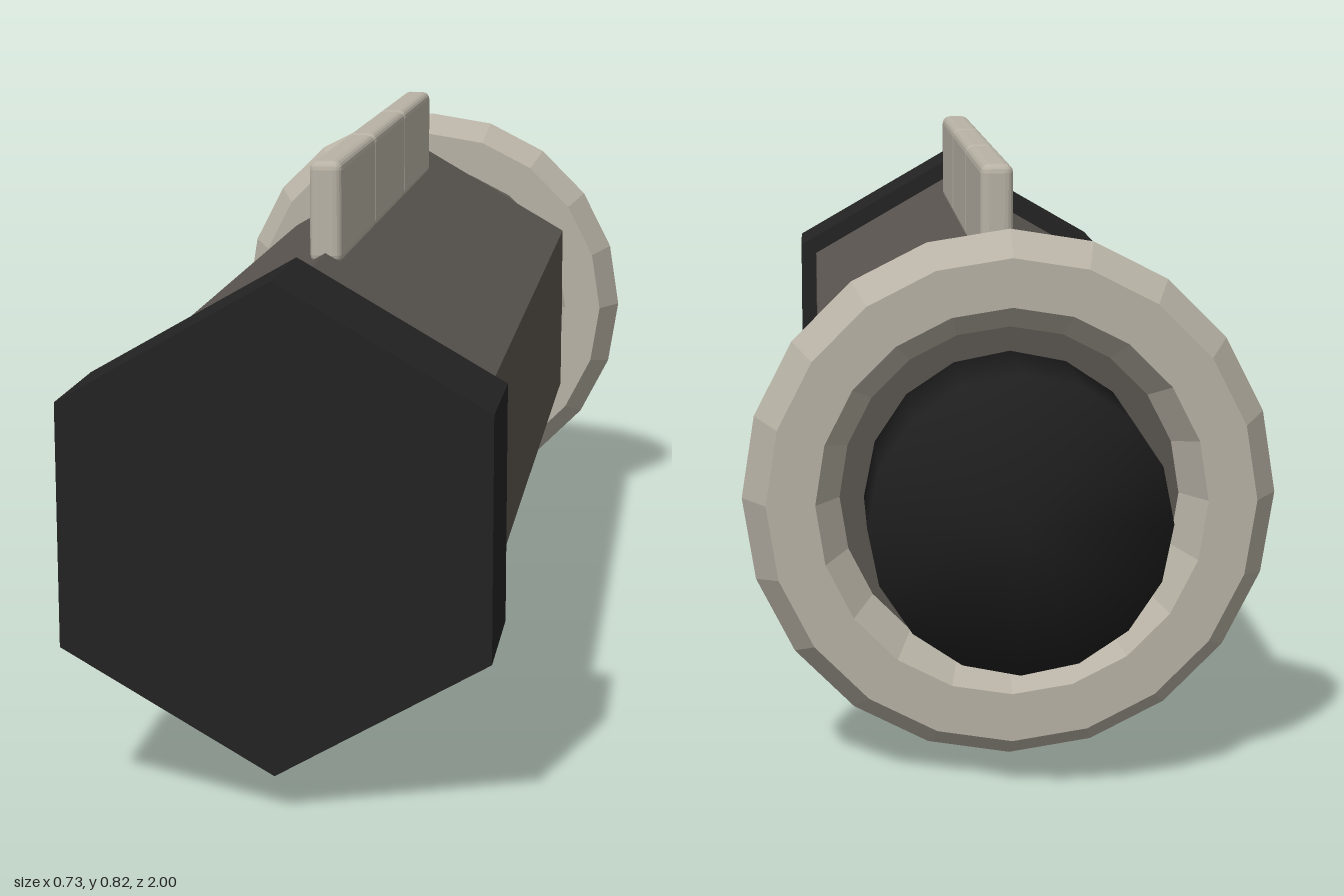
import * as THREE from 'three';
import { mergeVertices } from 'three/addons/utils/BufferGeometryUtils.js';
import { RoundedBoxGeometry } from 'three/addons/geometries/RoundedBoxGeometry.js';

const AXIS_Y = 0.385; // height of the long centre line

function material(name, color, flatShading = false) {
  const m = new THREE.MeshStandardMaterial({ color, flatShading });
  m.name = name;
  return m;
}

// Prism lying along z between two depths
function prism(radius, sides, zFront, zBack) {
  const g = new THREE.CylinderGeometry(radius, radius, zFront - zBack, sides);
  g.rotateX(Math.PI / 2);
  g.translate(0, AXIS_Y, (zFront + zBack) / 2);
  return g;
}

// Weld all corners so that shading runs smoothly over the rim
function welded(geometry) {
  geometry.deleteAttribute('uv');
  geometry.deleteAttribute('normal');
  const g = mergeVertices(geometry);
  g.computeVertexNormals();
  return g;
}

export function createModel() {
  const group = new THREE.Group();
  const gunmetal = material('warm grey metal', 0x59544e, true);
  const pale = material('pale stone', 0xb8b2a5, true);
  const black = material('black', 0x232323, true);
  const rubber = material('black rubber', 0x1e1e1e);

  const add = (name, geometry, mat) => {
    const mesh = new THREE.Mesh(geometry, mat);
    mesh.name = name;
    group.add(mesh);
    return mesh;
  };

  // Hexagonal barrel and its wider front cap
  add('body', prism(0.3, 6, 0.8, -0.8), gunmetal);
  add('frontCap', prism(0.333, 6, 1, 0.8), black);

  // Faceted collar and the button behind it
  add('rearRing', new THREE.TorusGeometry(0.3, 0.0667, 6, 20), pale).position.set(0, AXIS_Y, -0.8);
  add('rearKnob', welded(prism(0.2, 16, -0.8, -1)), rubber);

  // Three fins in a row along the top ridge
  for (let i = -1; i <= 1; i++) {
    add('topFin', new RoundedBoxGeometry(0.048, 0.15, 0.366, 2, 0.013), pale)
      .position.set(0, 0.743, -i * 0.367);
  }

  // Rounded pad under the body
  add('lowerGrip', new RoundedBoxGeometry(0.2, 0.132, 0.833, 2, 0.033), rubber)
    .position.set(0, 0.066, 0.034);

  return group;
}
